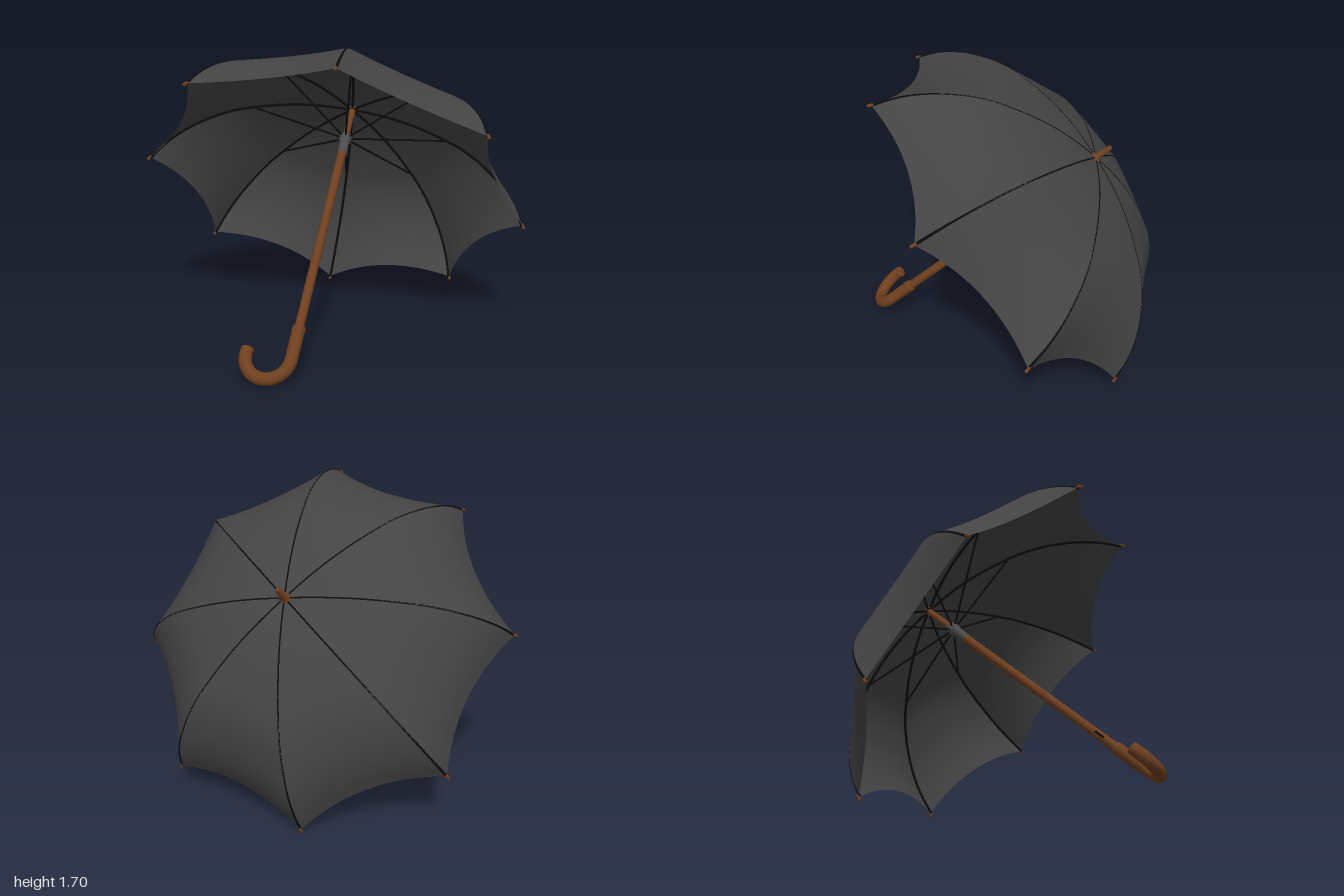
import * as THREE from 'three';

const mat = (name, color, side = THREE.FrontSide) => {
  const m = new THREE.MeshStandardMaterial({ color, side });
  m.name = name;
  return m;
};

export function createModel() {
  const fabric = mat('charcoal fabric', 0x444444, THREE.DoubleSide);
  const black = mat('black steel', 0x0c0c0c);
  const wood = mat('brown wood', 0x6f3f1f);
  const grey = mat('grey metal', 0x4c4c4c);

  // Upright umbrella: shaft along y, origin at the centre of the rim
  const umbrella = new THREE.Group();
  umbrella.name = 'umbrella';
  const add = (parent, name, geometry, material) => {
    const m = new THREE.Mesh(geometry, material);
    m.name = name;
    parent.add(m);
    return m;
  };
  const lathe = (name, pts, material) =>
    add(umbrella, name, new THREE.LatheGeometry(pts.map(p => new THREE.Vector2(...p)), 20), material);
  const V = (x, y, z = 0) => new THREE.Vector3(x, y, z);

  // Rib profile from the crown to the tip
  const R = 1.105;
  const profile = new THREE.CatmullRomCurve3([
    [0, 0.608], [0.15, 0.603], [0.3, 0.585], [0.45, 0.55], [0.59, 0.503], [0.7, 0.457],
    [0.8, 0.395], [0.88, 0.33], [0.95, 0.262], [1.015, 0.18], [1.065, 0.095], [R, 0]
  ].map(p => V(...p)));

  // One fabric panel: spans two ribs, sags inward and has a scalloped hem
  const panel = new THREE.PlaneGeometry(1, 1, 16, 32);
  const pos = panel.attributes.position;
  const half = Math.PI / 8;
  for (let i = 0; i < pos.count; i++) {
    const f = -2 * pos.getX(i);
    const p = profile.getPoint(0.5 - pos.getY(i));
    const pull = (p.x / R) ** 2 * (1 - f * f);
    pos.setXYZ(i,
      p.x * Math.cos(half) - 0.07 * pull,
      p.y + 0.045 * pull,
      p.x * Math.sin(half) * f);
  }
  panel.computeVertexNormals();

  // Ribs, stretchers and wooden tips
  const ribPath = new THREE.CatmullRomCurve3(
    profile.getPoints(24).map(p => V(Math.max(p.x - 0.004, 0.01), p.y - 0.006)));
  const rib = new THREE.TubeGeometry(ribPath, 40, 0.008, 6);
  const stretcher = new THREE.TubeGeometry(
    new THREE.LineCurve3(V(0.03, 0.385), V(0.6, 0.492)), 1, 0.006, 6);
  const tip = new THREE.CapsuleGeometry(0.009, 0.022, 3, 8);
  for (let k = 0; k < 8; k++) {
    add(umbrella, 'canopyPanel', panel, fabric).rotation.y = (k + 0.5) * Math.PI / 4;
    const arm = new THREE.Group();
    arm.name = 'ribAssembly';
    arm.rotation.y = k * Math.PI / 4;
    add(arm, 'rib', rib, black);
    add(arm, 'stretcher', stretcher, black);
    const t = add(arm, 'ribTip', tip, wood);
    t.position.set(R + 0.002, -0.004, 0);
    t.rotation.z = 0.5;
    umbrella.add(arm);
  }

  // Shaft and ferrule
  lathe('shaft', [[0, -0.92], [0.026, -0.92], [0.026, 0.3], [0.02, 0.32], [0.02, 0.6]], wood);
  lathe('ferrule', [[0.032, 0.595], [0.03, 0.615], [0.017, 0.625], [0.014, 0.705], [0.009, 0.715], [0, 0.716]], wood);
  // Sliding runner
  lathe('runner', [[0.021, 0.27], [0.029, 0.275], [0.029, 0.355], [0.037, 0.36], [0.037, 0.4], [0.021, 0.405]], grey);
  // Spring catch near the handle
  const hookAngle = Math.atan2(-0.98, -0.18);
  const handle = new THREE.Group();
  handle.name = 'handle';
  handle.rotation.y = hookAngle;
  umbrella.add(handle);
  add(handle, 'springCatch', new THREE.BoxGeometry(0.012, 0.06, 0.012), black).position.set(0.025, -0.76, 0);

  // Crook handle: straight grip, half turn, short upturned end
  const r = 0.125, bendY = -1.055;
  const pts = [V(0, -0.885), V(0, -0.95), V(0, -1.01)];
  for (let i = 0; i <= 10; i++) {
    const a = Math.PI + i / 10 * Math.PI;
    pts.push(V(r + r * Math.cos(a), bendY + r * Math.sin(a)));
  }
  pts.push(V(2 * r - 0.003, -1.025));
  add(handle, 'crook', new THREE.TubeGeometry(new THREE.CatmullRomCurve3(pts), 60, 0.035, 16), wood);
  const cap = new THREE.SphereGeometry(0.035, 16, 8, 0, Math.PI * 2, 0, Math.PI / 2);
  const end = add(handle, 'crookEnd', cap, wood);
  end.position.copy(pts[pts.length - 1]);
  end.scale.y = 0.3;
  end.rotation.z = 0.1;
  lathe('gripCollar', [[0.026, -0.865], [0.033, -0.868], [0.037, -0.88], [0.037, -0.9], [0.035, -0.905]].reverse(), wood);

  // Lean the umbrella so it rests on the crook and two rib tips
  const n = V(0.636, 0.668, -0.386).normalize();
  const u = V(-0.456, 0.729, 0.512).addScaledVector(n, -V(-0.456, 0.729, 0.512).dot(n)).normalize();
  umbrella.quaternion.setFromRotationMatrix(
    new THREE.Matrix4().makeBasis(u, n, new THREE.Vector3().crossVectors(u, n)));
  umbrella.position.set(-0.006, 0.824, -0.006);

  const model = new THREE.Group();
  model.name = 'openUmbrella';
  model.add(umbrella);
  return model;
}
